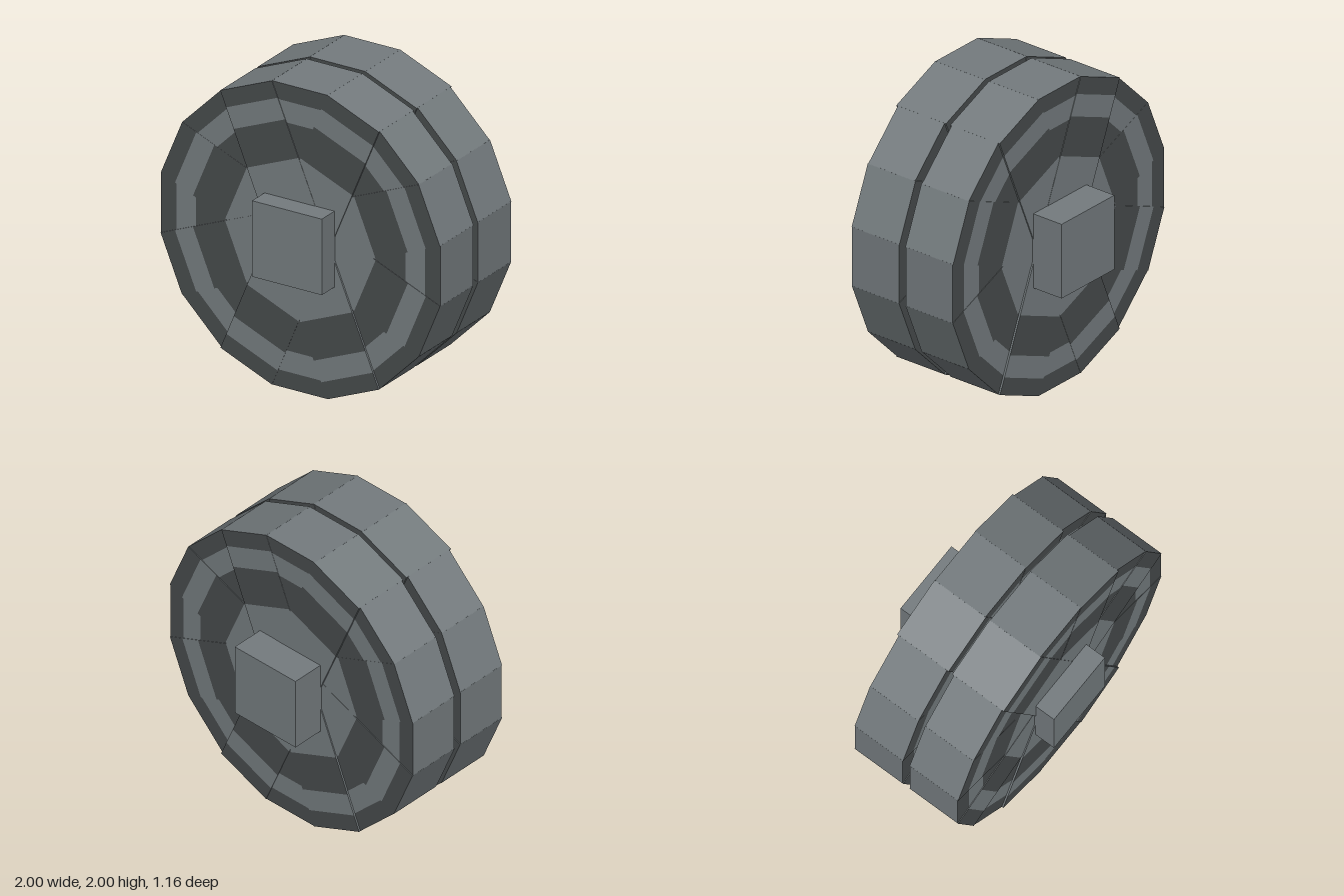
import * as THREE from 'three';

export function createModel() {
  const model = new THREE.Group();
  model.name = 'doubleWheel';

  const lightGrey = new THREE.MeshStandardMaterial({ color: 0x747b7e });
  lightGrey.name = 'lightGrey';
  const darkGrey = new THREE.MeshStandardMaterial({ color: 0x464a4b });
  darkGrey.name = 'darkGrey';

  // Distances along a plank where the painted bands change
  const stops = [-1, -0.89, -0.75, -0.5, 0.5, 0.75, 0.89, 1];
  const bands = stops.length - 1;

  // One plank through the wheel centre, banded on its front and back faces
  function plankGeometry(depth) {
    const geo = new THREE.BoxGeometry(2, 0.4, depth, bands, 1, 1);
    const pos = geo.attributes.position;
    for (let i = 0; i < pos.count; i++) {
      pos.setX(i, stops[Math.round((pos.getX(i) + 1) / 2 * bands)]);
    }
    geo.clearGroups();
    const faceStart = 12 + bands * 12; // ends and long sides come first
    geo.addGroup(0, faceStart, 0);
    for (let q = 0; q < bands * 2; q++) {
      geo.addGroup(faceStart + q * 6, 6, (q % bands) % 2 === 0 ? 1 : 0);
    }
    return geo;
  }

  // Plank angle in steps of 22.5 degrees, and thickness; thicker planks overlap thinner ones
  const planks = [
    [0, 0.362], [1, 0.371], [2, 0.364], [3, 0.386],
    [4, 0.383], [5, 0.39], [6, 0.365], [7, 0.367],
  ];

  // Two wheels, each made of eight crossed planks
  for (const [name, z] of [['frontWheel', 0.249], ['backWheel', -0.169]]) {
    const wheel = new THREE.Group();
    wheel.name = name;
    wheel.position.set(0, 1, z);
    for (const [step, depth] of planks) {
      const plank = new THREE.Mesh(plankGeometry(depth), [lightGrey, darkGrey]);
      plank.name = 'wheelPlank';
      plank.rotation.z = step * Math.PI / 8;
      wheel.add(plank);
    }
    model.add(wheel);
  }

  // Square axle through both wheels
  const axle = new THREE.Mesh(new THREE.BoxGeometry(0.5, 0.5, 1.165), lightGrey);
  axle.name = 'axle';
  axle.position.y = 1;
  model.add(axle);

  return model;
}
